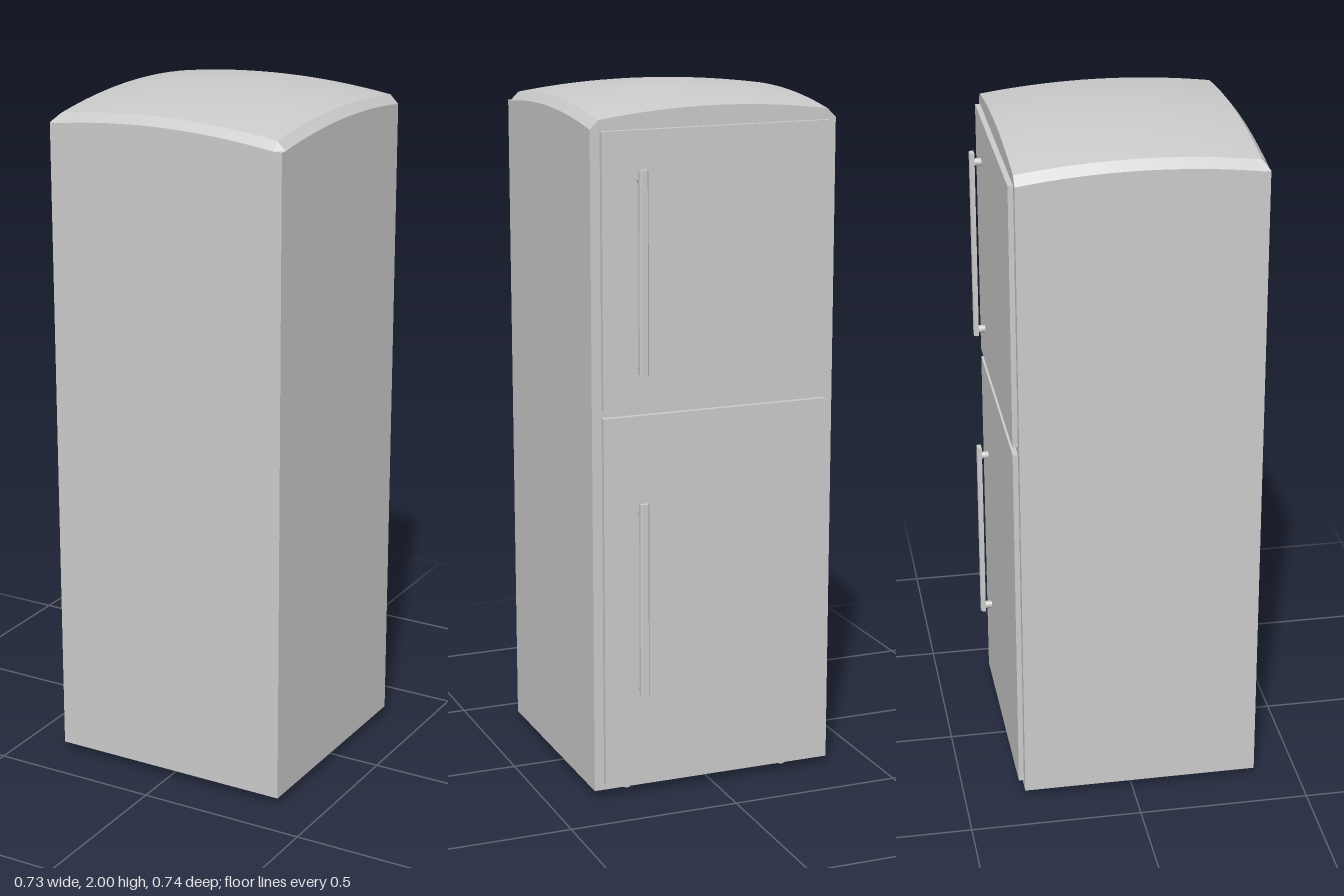
import * as THREE from 'three';
import { toCreasedNormals } from 'three/addons/utils/BufferGeometryUtils.js';

const material = new THREE.MeshStandardMaterial({ color: 0xcccccc });
const BACK = -0.323, FRONT = 0.37, HALF = 0.365, INNER_X = 0.34, INNER_Z = 0.35;
const BASE = 0.025, DOOR_FACE = -0.338;

function add(parent, name, geometry, x = 0, y = 0, z = 0) {
  const mesh = new THREE.Mesh(geometry, material);
  mesh.name = name;
  mesh.position.set(x, y, z);
  parent.add(mesh);
  return mesh;
}

// Height of the domed roof, with a sloped rim on both sides and the plain face
function roofHeight(x, z) {
  const cx = THREE.MathUtils.clamp(x, -INNER_X, INNER_X);
  const cz = Math.min(z, INNER_Z);
  const rim = Math.max(Math.abs(x - cx) / (HALF - INNER_X), (z - cz) / (FRONT - INNER_Z));
  return 2 - 0.025 * (cx / INNER_X) ** 2 - 0.025 * ((cz - 0.02) / 0.343) ** 2 - 0.025 * rim;
}

// Cabinet: a segmented box whose top follows the roof height
function cabinetGeometry() {
  const n = 16;
  const xs = [-HALF], zs = [];
  for (let i = 0; i <= n; i++) {
    xs.push(THREE.MathUtils.lerp(-INNER_X, INNER_X, i / n));
    zs.push(THREE.MathUtils.lerp(BACK, INNER_Z, i / n));
  }
  xs.push(HALF);
  zs.push(FRONT);
  const nx = xs.length - 1, nz = zs.length - 1;
  const geometry = new THREE.BoxGeometry(1, 1, 1, nx, 1, nz);
  const p = geometry.attributes.position;
  for (let i = 0; i < p.count; i++) {
    const x = xs[Math.round((p.getX(i) + 0.5) * nx)];
    const z = zs[Math.round((p.getZ(i) + 0.5) * nz)];
    p.setXYZ(i, x, p.getY(i) > 0 ? roofHeight(x, z) : BASE, z);
  }
  return toCreasedNormals(geometry, 0.4);
}

// Door panel with its vertical bar handle on two posts
function makeDoor(name, bottom, top, handleBottom, handleTop) {
  const door = new THREE.Group();
  door.name = name;
  const depth = BACK - DOOR_FACE + 0.005;
  add(door, 'doorPanel', new THREE.BoxGeometry(0.675, top - bottom, depth),
    -0.001, (bottom + top) / 2, DOOR_FACE + depth / 2);

  // Bar with chamfered outer corners
  const profile = new THREE.Shape([[-0.0135, 0], [0.0135, 0], [0.0135, 0.009], [0.009, 0.014],
    [-0.009, 0.014], [-0.0135, 0.009]].map(([x, y]) => new THREE.Vector2(x, y)));
  const bar = new THREE.ExtrudeGeometry(profile, { depth: handleTop - handleBottom, bevelEnabled: false });
  bar.rotateX(-Math.PI / 2);
  add(door, 'handleBar', bar, 0.226, handleBottom, -0.358);

  for (const y of [handleBottom + 0.017, handleTop - 0.03]) {
    const post = new THREE.CylinderGeometry(0.011, 0.011, 0.024, 12);
    post.rotateX(Math.PI / 2);
    add(door, 'handlePost', toCreasedNormals(post, 0.7), 0.226, y, -0.348);
  }
  return door;
}

export function createModel() {
  const fridge = new THREE.Group();
  fridge.name = 'refrigerator';

  add(fridge, 'cabinet', cabinetGeometry());
  fridge.add(makeDoor('lowerDoor', 0.045, 1.125, 0.31, 0.877));
  fridge.add(makeDoor('upperDoor', 1.15, 1.92, 1.247, 1.815));

  // Four small feet
  for (const x of [-0.245, 0.245])
    for (const z of [-0.265, 0.315])
      add(fridge, 'foot', new THREE.CylinderGeometry(0.01, 0.01, 0.03, 12), x, 0.015, z);

  return fridge;
}
